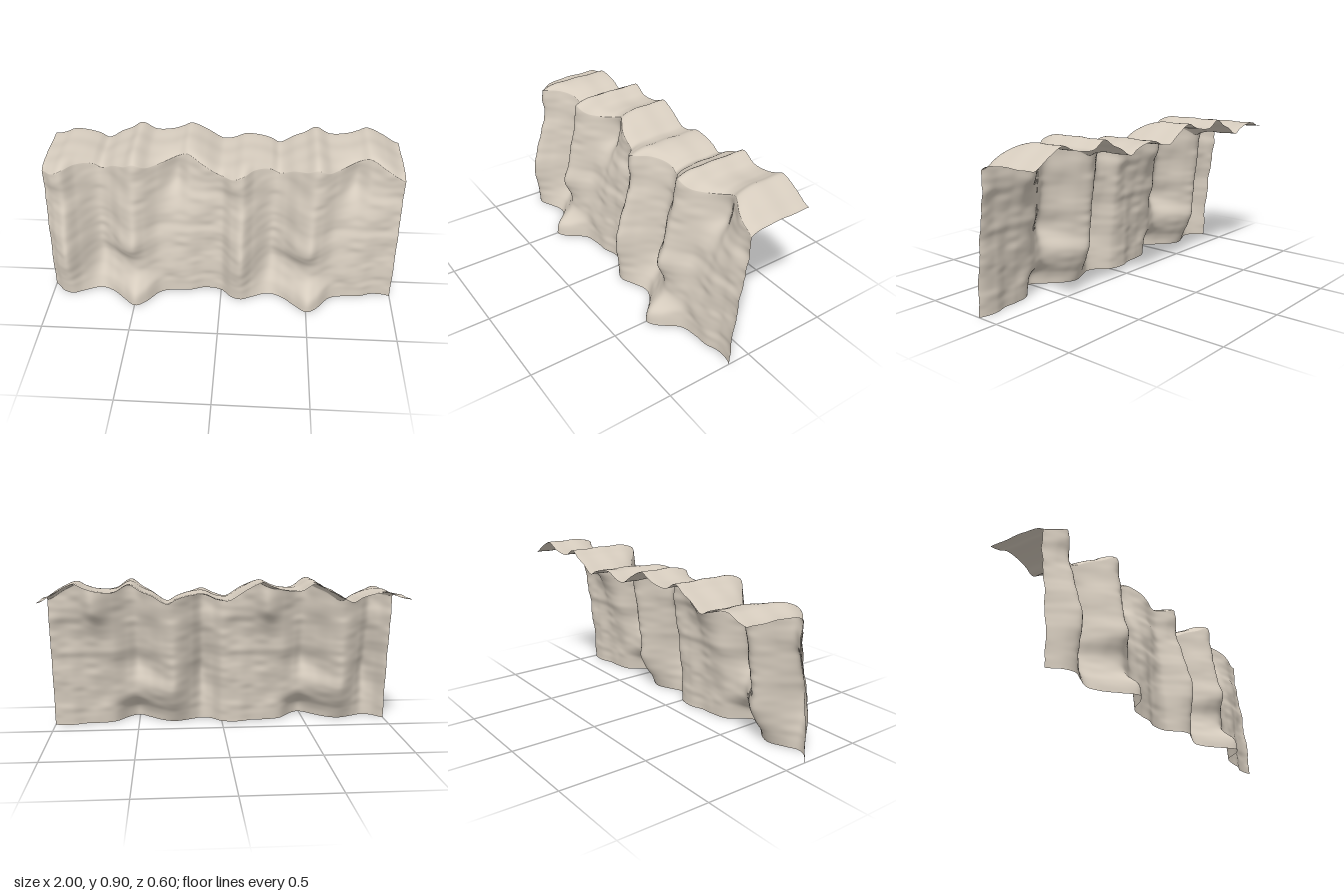
import * as THREE from 'three';

// Depth (z) of the cliff face over one repeat: rows climb, columns run along x.
const COLS = [0, 0.06, 0.12, 0.18, 0.28, 0.36, 0.43, 0.5, 0.56, 0.64, 0.74, 0.82, 0.9];
const ROWS = [0, 0.07, 0.14, 0.23, 0.33, 0.45, 0.6, 0.68, 0.76, 0.82];
const DEPTH = [
  [0.13, 0.19, 0.21, 0.185, 0.148, 0.178, 0.24, 0.297, 0.265, 0.17, 0.145, 0.14, 0.115],
  [0.127, 0.19, 0.213, 0.175, 0.122, 0.16, 0.22, 0.28, 0.245, 0.165, 0.145, 0.138, 0.115],
  [0.122, 0.195, 0.222, 0.165, 0.08, 0.115, 0.165, 0.202, 0.19, 0.15, 0.142, 0.132, 0.11],
  [0.118, 0.2, 0.232, 0.158, 0.048, 0.075, 0.132, 0.178, 0.168, 0.14, 0.132, 0.125, 0.106],
  [0.106, 0.185, 0.226, 0.145, 0.038, 0.09, 0.175, 0.22, 0.18, 0.128, 0.118, 0.12, 0.102],
  [0.098, 0.165, 0.196, 0.12, 0.025, 0.062, 0.14, 0.19, 0.158, 0.1, 0.092, 0.102, 0.098],
  [0.076, 0.118, 0.142, 0.088, 0.014, 0.045, 0.115, 0.157, 0.138, 0.082, 0.045, 0.062, 0.08],
  [0.06, 0.105, 0.125, 0.068, 0.006, 0.03, 0.09, 0.138, 0.126, 0.065, -0.012, 0.036, 0.064],
  [0.068, 0.125, 0.135, 0.062, -0.008, 0.014, 0.074, 0.132, 0.122, 0.05, -0.03, 0.014, 0.056],
  [0.065, 0.12, 0.126, 0.05, -0.016, 0.005, 0.065, 0.12, 0.112, 0.04, -0.026, 0.005, 0.05],
];
// Height of the plateau over one repeat
const TOP_U = [0, 0.06, 0.12, 0.2, 0.27, 0.32, 0.4, 0.46, 0.52, 0.6, 0.7, 0.76, 0.81, 0.9, 0.97];
const TOP_Y = [0.8, 0.81, 0.835, 0.83, 0.81, 0.785, 0.83, 0.855, 0.89, 0.85, 0.855, 0.875, 0.895, 0.855, 0.81];

// Cubic Hermite interpolation through uneven keys
function hermite(xs, ys, x) {
  let i = 0;
  while (i < xs.length - 2 && x > xs[i + 1]) i++;
  const slope = (k) => {
    const a = Math.max(k - 1, 0), b = Math.min(k + 1, xs.length - 1);
    return (ys[b] - ys[a]) / (xs[b] - xs[a]);
  };
  const h = xs[i + 1] - xs[i], t = Math.min(Math.max((x - xs[i]) / h, 0), 1);
  const t2 = t * t, t3 = t2 * t;
  return (2 * t3 - 3 * t2 + 1) * ys[i] + (t3 - 2 * t2 + t) * h * slope(i)
    + (3 * t2 - 2 * t3) * ys[i + 1] + (t3 - t2) * h * slope(i + 1);
}

// Same, wrapping around after one repeat
function periodic(xs, ys, u) {
  const n = xs.length;
  return hermite(
    [xs[n - 2] - 1, xs[n - 1] - 1, ...xs, 1, 1 + xs[1]],
    [ys[n - 2], ys[n - 1], ...ys, ys[0], ys[1]], u);
}

// Seeded value noise from -1 to 1, repeating every `cells` along u
function noise(u, v, cells, seed) {
  const hash = (i, j) => {
    const s = Math.sin((i % cells) * 127.1 + j * 311.7 + seed * 74.7) * 43758.5453;
    return (s - Math.floor(s)) * 2 - 1;
  };
  const x = u * cells, i = Math.floor(x), j = Math.floor(v);
  const ease = (t) => t * t * (3 - 2 * t);
  const fx = ease(x - i), fy = ease(v - j);
  const mix = THREE.MathUtils.lerp;
  return mix(mix(hash(i, j), hash(i + 1, j), fx), mix(hash(i, j + 1), hash(i + 1, j + 1), fx), fy);
}

// Small weathered ledges, wider than tall, fading out at the foot
function ledges(u, y) {
  const n = 0.007 * noise(u, y * 13, 7, 1) + 0.003 * noise(u, y * 29, 13, 2);
  return n * Math.min(1, y / 0.06);
}

export function createModel() {
  const group = new THREE.Group();
  group.name = 'cliff';
  const stone = new THREE.MeshStandardMaterial({ color: 0xd6ccbe, side: THREE.DoubleSide });
  stone.name = 'pale stone';

  const NX = 200, WALL = 80, TOP = 26, BACK = -0.3, DROP = 0.032;
  const rows = WALL + TOP + 1;
  const positions = [], index = [];

  for (let i = 0; i <= NX; i++) {
    const x = -1 + (2 * i) / NX;
    const u = (i % (NX / 2)) / (NX / 2);
    const profile = DEPTH.map((row) => periodic(COLS, row, u));
    const top = periodic(TOP_U, TOP_Y, u);
    const lip = top - DROP;
    const depth = (t) => hermite(ROWS, profile, t * 0.82) + ledges(u, t * lip);

    // Cliff face, from the foot up to the lip
    for (let j = 0; j <= WALL; j++) {
      const t = j / WALL;
      positions.push(x, t * lip, Math.min(depth(t), 0.3));
    }
    // Plateau, rising gently behind the lip and running level to the back
    const zLip = depth(1);
    for (let j = 1; j <= TOP; j++) {
      const s = (j / TOP) ** 1.6;
      const z = zLip + (BACK - zLip) * s;
      const rise = 1 - Math.exp(-(zLip - z) / 0.045);
      positions.push(x, lip + DROP * rise + 0.002 * Math.sin(z * 40) * rise, z);
    }
  }
  for (let i = 0; i < NX; i++) {
    for (let j = 0; j < rows - 1; j++) {
      const a = i * rows + j, b = a + rows;
      index.push(a, b, b + 1, a, b + 1, a + 1);
    }
  }

  const geometry = new THREE.BufferGeometry();
  geometry.setAttribute('position', new THREE.Float32BufferAttribute(positions, 3));
  geometry.setIndex(index);
  geometry.computeVertexNormals();

  const cliff = new THREE.Mesh(geometry, stone);
  cliff.name = 'cliffFaceAndPlateau';
  group.add(cliff);
  return group;
}
